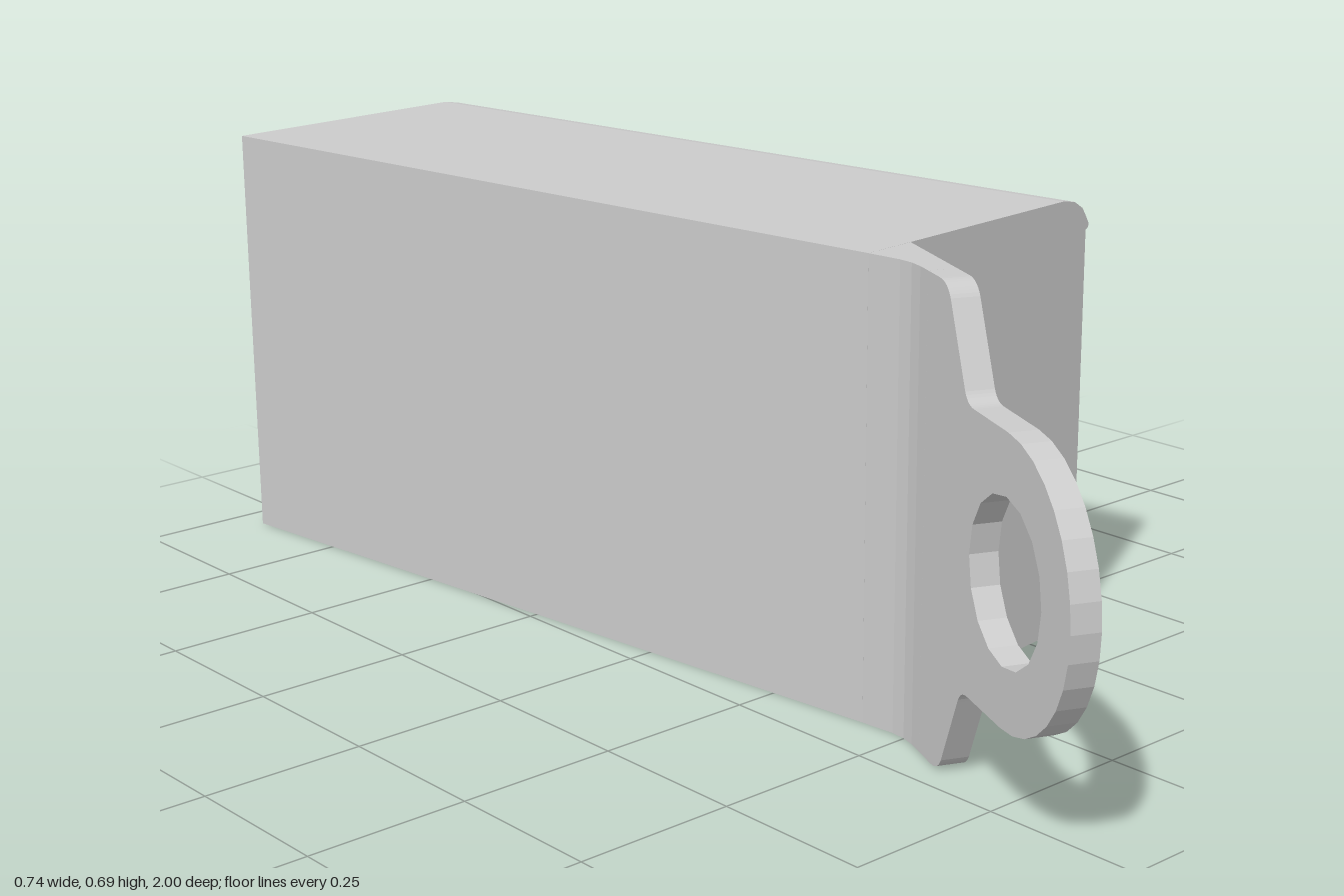
import * as THREE from 'three';

const H = 0.695;                 // overall height
const YAW = 0.11;                // turn of the body about y
const W = 0.536, LENGTH = 1.368; // body width and length
const TAB_DIR = [-0.409, 0.912]; // direction of the tab in x, z
const THICK = 0.042;             // tab thickness
const ROOT = [-0.07, 0.409];     // where the tab leaves the body front

const material = new THREE.MeshStandardMaterial({ color: 0xcccccc, flatShading: true });

function extrude(name, shape, depth, curveSegments = 8) {
  const geometry = new THREE.ExtrudeGeometry(shape, { depth, bevelEnabled: false, curveSegments });
  const mesh = new THREE.Mesh(geometry, material);
  mesh.name = name;
  return mesh;
}

const polygon = (points) => new THREE.Shape(points.map(([x, y]) => new THREE.Vector2(x, y)));

// Block with two rounded edges, each ending in a small lip
function makeBody() {
  const corner = [[W - 0.07, 0], [W - 0.04, 0.005], [W - 0.018, 0.018], [W - 0.006, 0.035],
    [W, 0.045], [W - 0.002, 0.05], [W - 0.008, 0.053]];
  const upper = corner.map(([x, y]) => [x, H - y]).reverse();
  const body = extrude('body', polygon([[0, 0], ...corner, ...upper, [0, H]]), LENGTH);
  body.position.set(-0.313, 0, -0.941);
  body.rotation.y = YAW;
  return body;
}

// Full-height bend joining the body to the tab
function makeBend(start) {
  const inner = [ROOT[0] + TAB_DIR[0] * start, ROOT[1] + TAB_DIR[1] * start];
  const outer = [inner[0] - TAB_DIR[1] * THICK, inner[1] + TAB_DIR[0] * THICK];
  const plan = [ROOT, inner, outer, [-0.167, 0.522], [-0.16, 0.499], [-0.158, 0.475], [-0.163, 0.419]];
  const bend = extrude('bend', polygon(plan.map(([x, z]) => [x, -z])), H);
  bend.rotation.x = -Math.PI / 2;
  return bend;
}

// Flat plate narrowing to a round eye with a hole
function makeTab(start) {
  const mid = H / 2, eye = 0.446, R = 0.2;
  const s = new THREE.Shape();
  s.moveTo(start, 0);
  s.lineTo(0.212, 0);
  s.quadraticCurveTo(0.238, 0, 0.25, 0.02);
  s.lineTo(0.303, 0.127);
  s.quadraticCurveTo(0.312, mid - R, 0.335, mid - R);
  s.lineTo(eye, mid - R);
  s.absarc(eye, mid, R, -Math.PI / 2, Math.PI / 2, false);
  s.lineTo(0.335, mid + R);
  s.quadraticCurveTo(0.312, mid + R, 0.303, H - 0.127);
  s.lineTo(0.25, H - 0.02);
  s.quadraticCurveTo(0.238, H, 0.212, H);
  s.lineTo(start, H);
  s.closePath();
  s.holes.push(new THREE.Path().absarc(eye, mid, 0.115, 0, Math.PI * 2, true));
  const tab = extrude('eyeTab', s, THICK);
  tab.position.set(ROOT[0], 0, ROOT[1]);
  tab.rotation.y = Math.atan2(-TAB_DIR[1], TAB_DIR[0]);
  return tab;
}

export function createModel() {
  const group = new THREE.Group();
  group.name = 'blockWithEyeTab';
  const tabStart = 0.17;
  group.add(makeBody(), makeBend(tabStart), makeTab(tabStart));
  return group;
}
